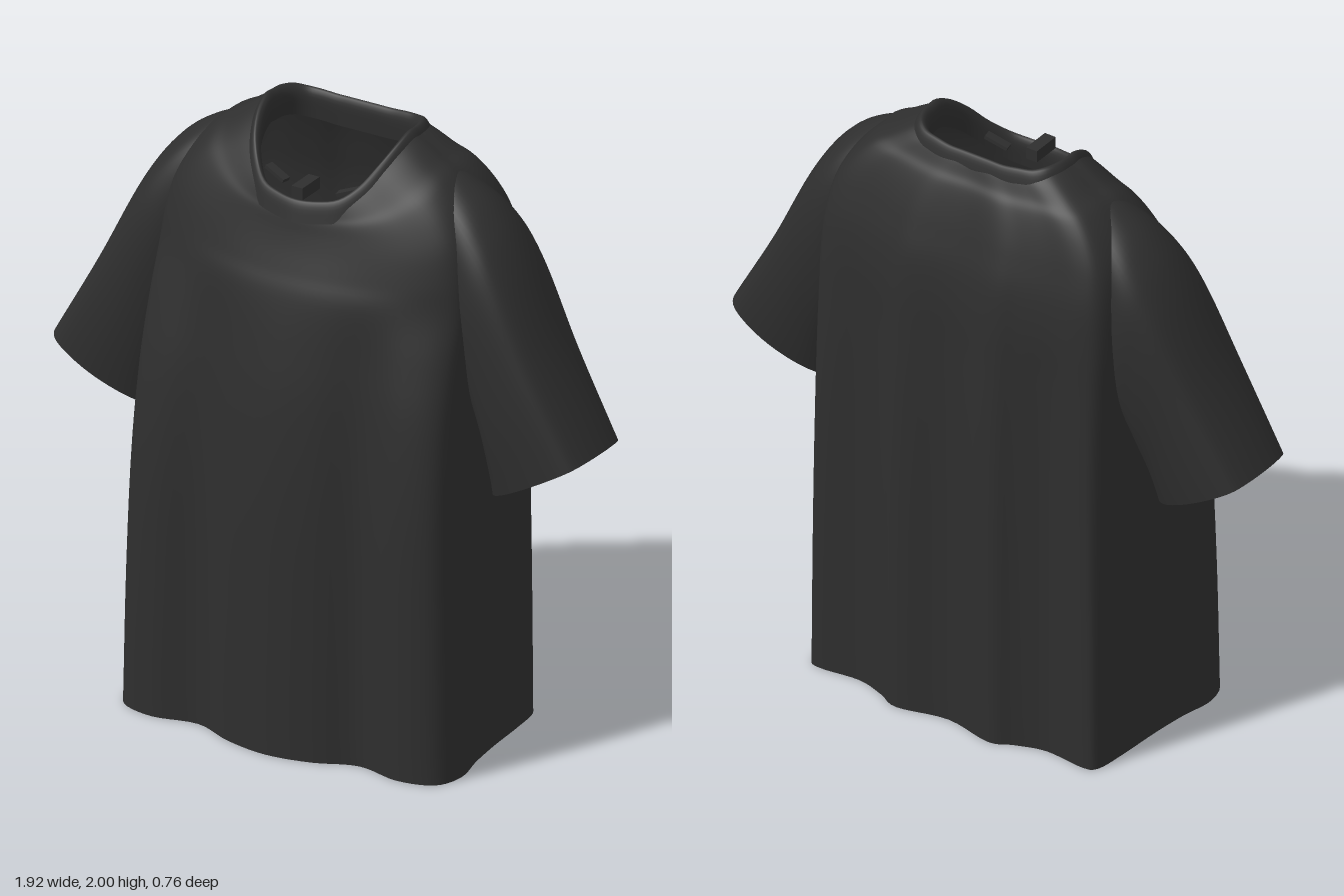
import * as THREE from 'three';

const cloth = new THREE.MeshStandardMaterial({ color: 0x2e2e2e, side: THREE.DoubleSide });
cloth.name = 'charcoal cloth';

// Half outlines [x, z] from front centre round the +x side to back centre
const HEM = [[0, .38], [.15, .355], [.29, .30], [.44, .328], [.56, .295], [.597, .2], [.575, .08], [.56, -.05],
  [.55, -.2], [.535, -.31], [.49, -.335], [.35, -.322], [.25, -.35], [.17, -.382], [0, -.348]];
const CHEST = [[0, .29], [.14, .28], [.28, .25], [.42, .205], [.52, .15], [.55, .09], [.55, 0], [.55, -.1],
  [.545, -.2], [.52, -.285], [.46, -.315], [.35, -.325], [.25, -.342], [.16, -.36], [0, -.342]];
const NECK = [[0, .2], [.07, .19], [.135, .17], [.185, .13], [.225, .08], [.25, .02], [.26, -.04], [.26, -.08],
  [.255, -.12], [.235, -.16], [.2, -.185], [.15, -.195], [.1, -.2], [.05, -.2], [0, -.2]];
const NECK_Y = [1.8, 1.805, 1.82, 1.86, 1.92, 1.97, 2, 2, 2, 1.995, 1.985, 1.98, 1.975, 1.975, 1.975];

const mix = THREE.MathUtils.lerp;

// Completes a half ring of points by mirroring it across x = 0
function mirrorRing(half) {
  const back = half.slice(1, -1).reverse().map(p => new THREE.Vector3(-p.x, p.y, p.z));
  return [...half, ...back];
}

// Smooth skin through closed rings with matching point counts
function loft(rings, around, along) {
  const loops = rings.map(r => {
    const c = new THREE.CatmullRomCurve3(r, true, 'catmullrom', 0.5);
    return Array.from({ length: around }, (_, i) => c.getPoint(i / around));
  });
  const pos = [], idx = [];
  const columns = loops[0].map((_, i) => new THREE.CatmullRomCurve3(loops.map(l => l[i]), false, 'catmullrom', 0.5));
  for (let j = 0; j <= along; j++) {
    for (const c of columns) pos.push(...c.getPoint(j / along).toArray());
  }
  for (let j = 0; j < along; j++) {
    for (let i = 0; i < around; i++) {
      const a = j * around + i, b = j * around + (i + 1) % around;
      idx.push(a, b, a + around, b, b + around, a + around);
    }
  }
  const g = new THREE.BufferGeometry();
  g.setAttribute('position', new THREE.Float32BufferAttribute(pos, 3));
  g.setIndex(idx);
  g.computeVertexNormals();
  return g;
}

function part(name, geometry) {
  const m = new THREE.Mesh(geometry, cloth);
  m.name = name;
  return m;
}

// Torso: hem to chest, then over the shoulders to the neck
function bodyGeometry() {
  const rings = [];
  // height, then blend weights from hem to chest for x and z
  for (const [y, wx, wz] of [[0, 0, 0], [.45, .2, .03], [.85, .5, .1], [1.15, .75, .32], [1.35, .9, .65], [1.5, 1, 1]]) {
    rings.push(mirrorRing(HEM.map(([x, z], i) => new THREE.Vector3(
      mix(x, CHEST[i][0], wx), y, mix(z, CHEST[i][1], wz)))));
  }
  // blend weights from chest to neck for x, y, front z and back z
  for (const [wx, wy, wf, wb] of [[.03, .26, .3, .1], [.1, .48, .55, .29], [.25, .65, .72, .47], [.45, .78, .83, .64],
    [.65, .85, .9, .78], [.85, .925, .96, .9], [1, .975, 1, 1]]) {
    rings.push(mirrorRing(CHEST.map(([x, z], i) => new THREE.Vector3(
      mix(x, NECK[i][0], wx), mix(1.5, NECK_Y[i], wy),
      mix(z, NECK[i][1], mix(wb, wf, THREE.MathUtils.smoothstep(z, -.25, .1)))))));
  }
  return loft(rings, 140, 60);
}

// Collar band: rolls over the neck edge and down inside
function collarGeometry() {
  const rows = [[1.12, -.065], [1.05, -.015], [.98, 0], [.915, -.03], [.94, -.1]];
  return loft(rows.map(([s, dy]) => mirrorRing(NECK.map(([x, z], i) =>
    new THREE.Vector3(x * s, NECK_Y[i] + dy, z * s)))), 112, 16);
}

// Sleeve: rounded over the shoulder, flat-topped and pointed under the arm at the cuff
function sleeveGeometry(side) {
  const cuff = [[0, 0], [.55, .02], [.88, .08], [1, .24], [.97, .47], [.76, .72], [.4, .91], [0, 1]];
  const cap = [[0, 0], [.42, .035], [.75, .12], [.95, .27], [1, .48], [.85, .75], [.45, .93], [0, 1]];
  // top x, top y, bottom x, bottom y, front z, back z, blend from cap to cuff shape
  const sections = [
    [.33, 1.925, .44, 1.4, .02, -.16, 0],
    [.45, 1.877, .48, 1.27, .085, -.215, 0],
    [.56, 1.797, .52, 1.14, .118, -.242, .15],
    [.66, 1.66, .55, 1.04, .13, -.235, .4],
    [.80, 1.375, .565, .95, .135, -.21, .8],
    [.958, 1.09, .575, .867, .13, -.19, 1],
  ];
  const rings = sections.map(([tx, ty, bx, by, f, b, w]) => {
    const half = cap.map(([u, v], i) => [mix(u, cuff[i][0], w), mix(v, cuff[i][1], w)]);
    const outline = [...half, ...half.slice(1, -1).reverse().map(([u, v]) => [-u, v])];
    const ring = outline.map(([u, v]) => new THREE.Vector3(
      side * mix(tx, bx, v), mix(ty, by, v), (f + b) / 2 + u * (f - b) / 2));
    return side > 0 ? ring : ring.reverse();
  });
  return loft(rings, 64, 36);
}

export function createModel() {
  const shirt = new THREE.Group();
  shirt.name = 'shirt';
  shirt.add(part('body', bodyGeometry()), part('collar', collarGeometry()));
  shirt.add(part('leftSleeve', sleeveGeometry(1)), part('rightSleeve', sleeveGeometry(-1)));

  // Small loose tabs inside the front of the neck
  const tab = part('neckTab', new THREE.BoxGeometry(.04, .04, .1));
  tab.position.set(0, 1.82, .145);
  shirt.add(tab);
  for (const s of [1, -1]) {
    const flap = part('neckFlap', new THREE.BoxGeometry(.08, .012, .03));
    flap.position.set(s * .13, 1.82, .1);
    flap.rotation.set(0, s * .2, s * .35);
    shirt.add(flap);
  }
  return shirt;
}
